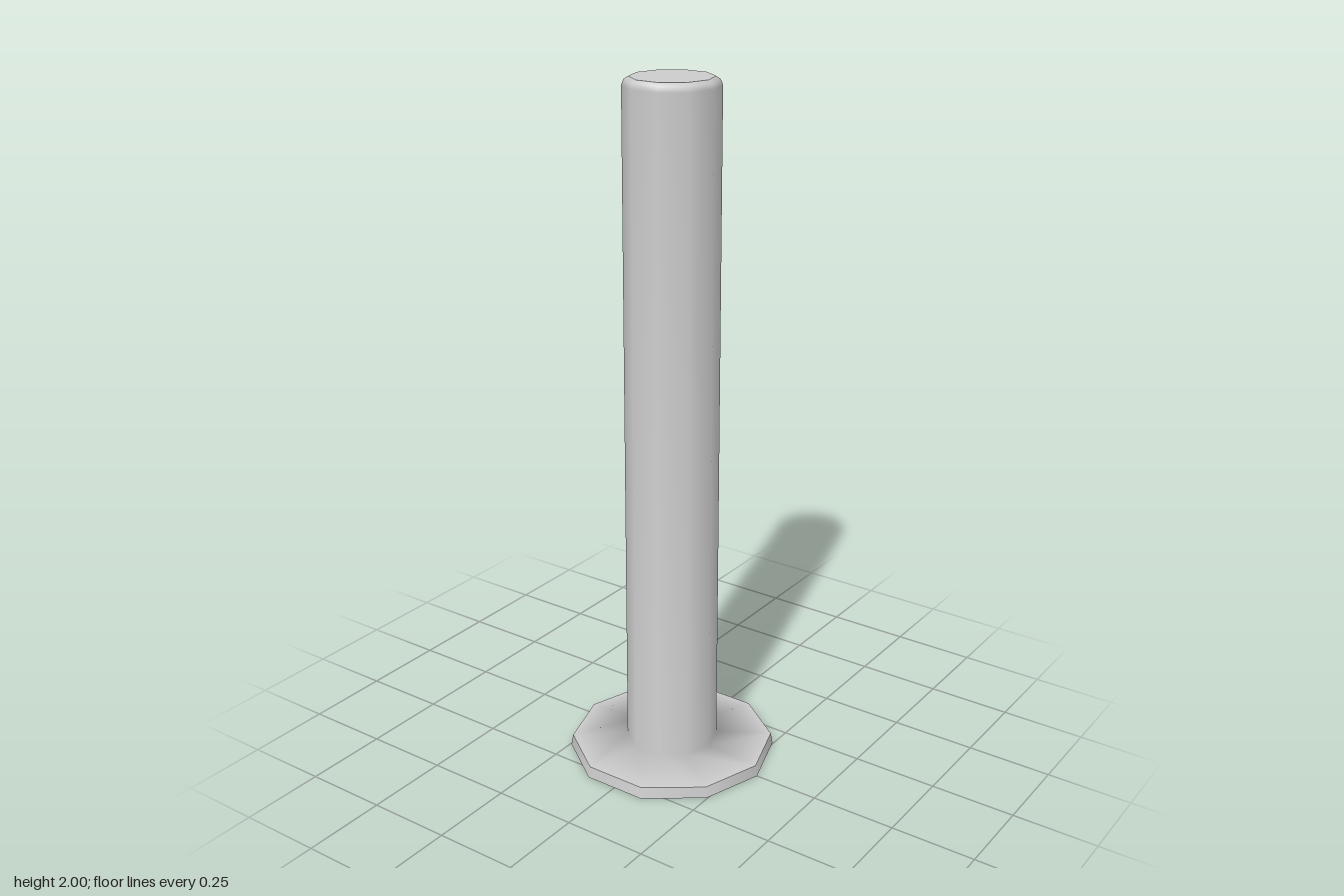
import * as THREE from 'three';

const SIDES = 10;

export function createModel() {
  const group = new THREE.Group();
  const material = new THREE.MeshStandardMaterial({ color: 0xcccccc });

  const add = (name, geometry) => {
    const mesh = new THREE.Mesh(geometry, material);
    mesh.name = name;
    group.add(mesh);
    return mesh;
  };

  // Ten-sided turned surface with corners on the x axis
  const turned = (name, profile) => add(name, new THREE.LatheGeometry(
    profile.map(([r, y]) => new THREE.Vector2(r, y)), SIDES, Math.PI / 2));

  // Flat ten-sided disc facing up (1) or down (-1)
  const disc = (name, radius, y, facing) => {
    const mesh = add(name, new THREE.CircleGeometry(radius, SIDES).rotateX(-facing * Math.PI / 2));
    mesh.position.y = y;
  };

  // Hollowed underside of the foot
  turned('footUnderside', [[0.11, 0.025], [0.305, 0]]);
  disc('footPlug', 0.11, 0.025, -1);

  // Thin foot rim flowing smoothly into the post and its bevelled tip
  turned('footRim', [[0.305, 0], [0.299, 0.033]]);
  turned('footAndPost', [[0.299, 0.033], [0.134, 0.042], [0.132, 1.977], [0.126, 1.992], [0.114, 2]]);
  disc('postCap', 0.114, 2, 1);

  return group;
}
